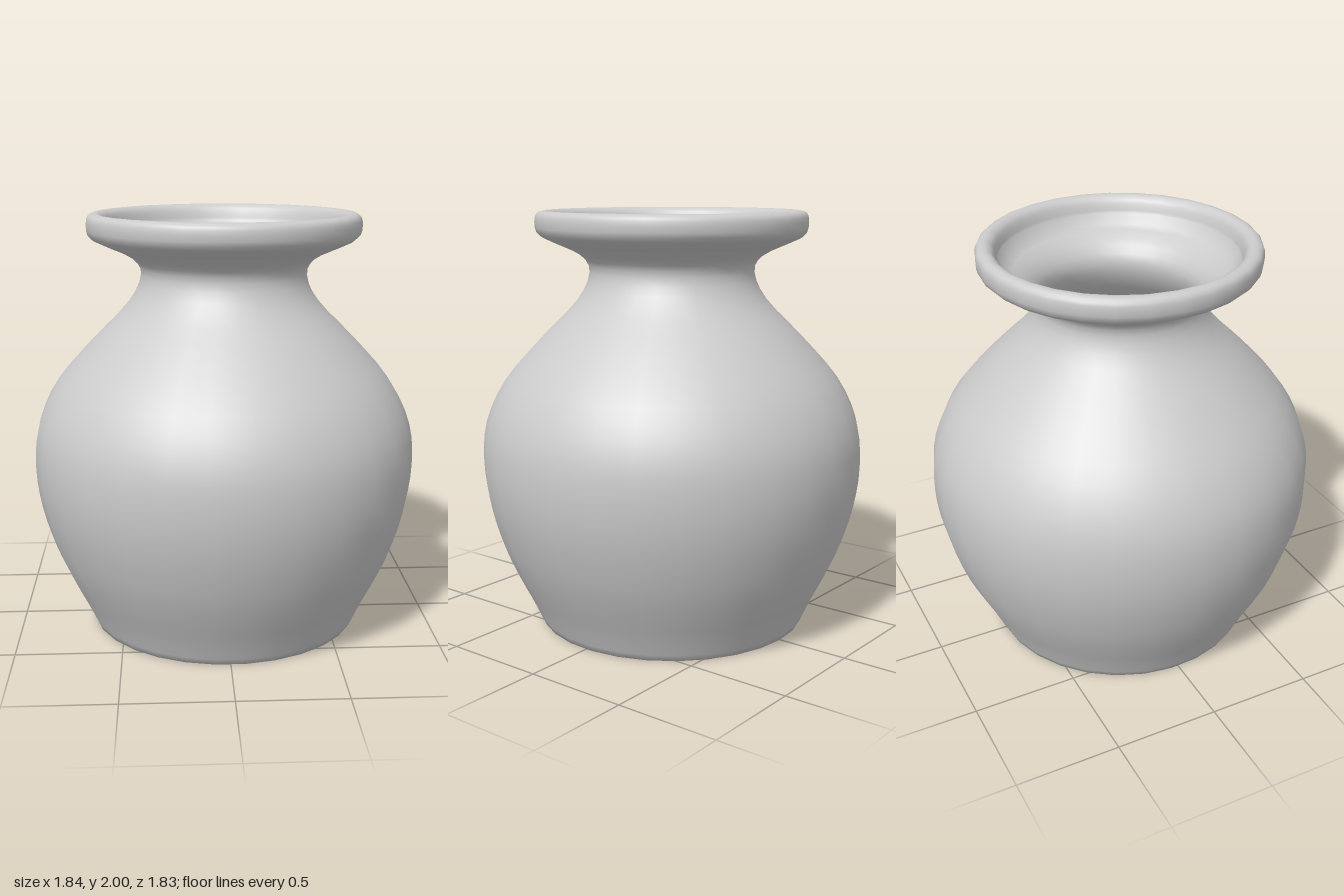
import * as THREE from 'three';

const SIDES = 29;

// Smooth run of profile points through a few [radius, height] pairs
function smooth(pairs, count) {
  const points = pairs.map(([r, y]) => new THREE.Vector2(r, y));
  return new THREE.SplineCurve(points).getPoints(count);
}

export function createModel() {
  const group = new THREE.Group();
  group.name = 'vase';

  // Outer wall from foot to the underside of the lip
  const outer = smooth([
    [0.65, 0], [0.705, 0.12], [0.77, 0.25], [0.835, 0.4], [0.895, 0.6], [0.92, 0.8],
    [0.9, 1.0], [0.805, 1.2], [0.63, 1.4], [0.455, 1.58], [0.395, 1.71], [0.435, 1.79], [0.56, 1.85],
  ], 36);

  // Rolled lip
  const lip = smooth([
    [0.615, 1.875], [0.645, 1.905], [0.65, 1.96], [0.637, 1.99], [0.605, 2],
    [0.575, 1.985], [0.56, 1.955], [0.55, 1.92],
  ], 16);

  // Inner wall back down to the floor
  const inner = smooth([
    [0.52, 1.875], [0.42, 1.815], [0.37, 1.72], [0.43, 1.58], [0.605, 1.4], [0.78, 1.2],
    [0.875, 1.0], [0.895, 0.8], [0.87, 0.6], [0.81, 0.4], [0.745, 0.25], [0.68, 0.12], [0.63, 0.025],
  ], 32);

  // Base ring around the drain hole, closing the profile at both ends
  const profile = [
    new THREE.Vector2(0.135, 0),
    ...outer, ...lip, ...inner,
    new THREE.Vector2(0.135, 0.015),
    new THREE.Vector2(0.135, 0),
  ];

  const body = new THREE.Mesh(
    new THREE.LatheGeometry(profile, SIDES, Math.PI),
    new THREE.MeshStandardMaterial({ color: 0xcccccc, side: THREE.DoubleSide }),
  );
  body.name = 'vaseBody';
  group.add(body);
  return group;
}
